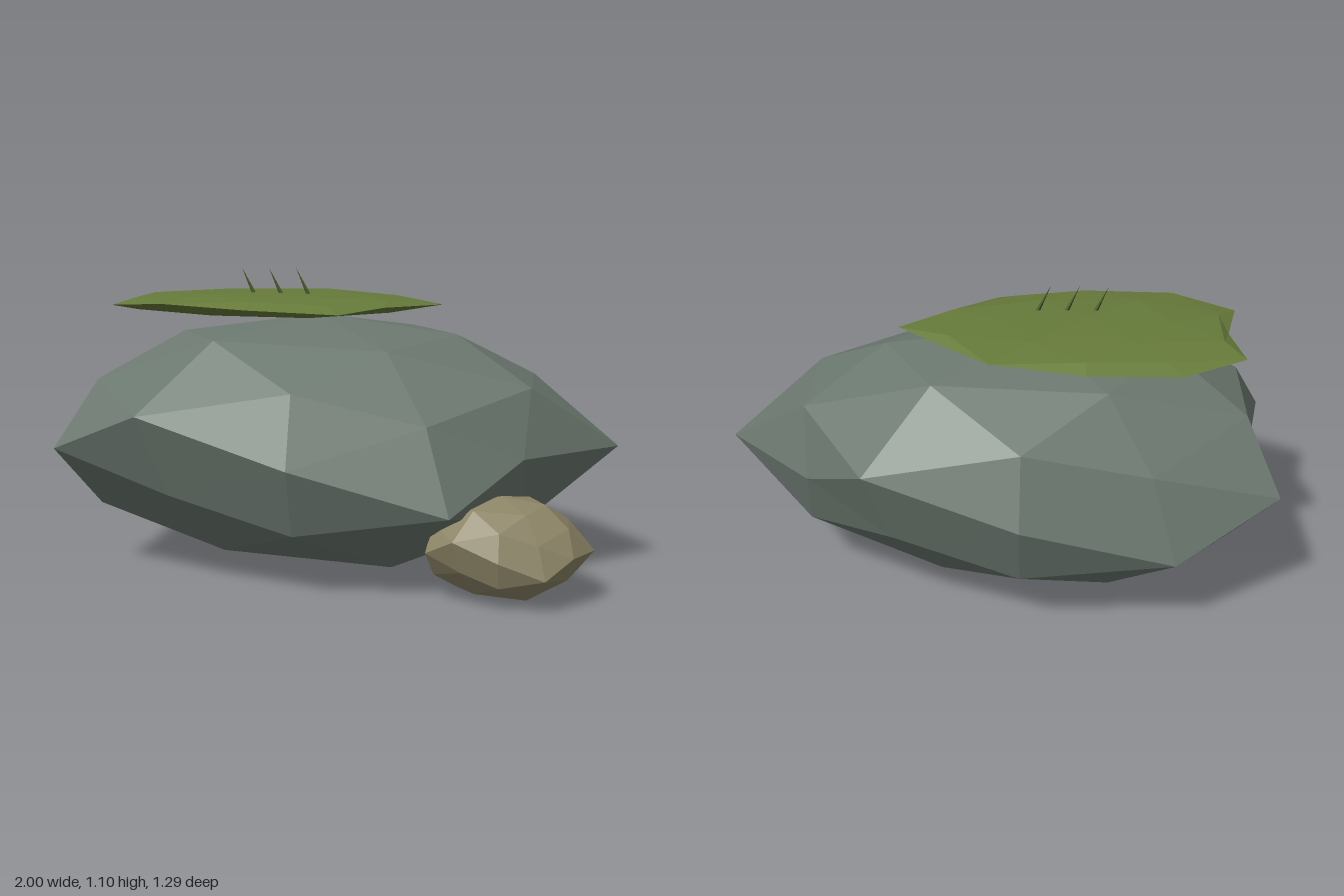
import * as THREE from 'three';

// Radial push for each kind of direction on a once-subdivided icosahedron;
// k fades the two end facets toward a rounder stone.
function bulge(x, y, z, k) {
  const ax = Math.abs(x), ay = Math.abs(y), az = Math.abs(z);
  if (ax > 0.95) return x > 0 ? 1.13 : 1 - 0.145 * k;          // end points
  if (ay < 0.05 && ax > 0.8) {                                  // pairs beside the ends
    if (x < 0) return 1 + 0.09 * k;
    return k < 1 ? 1.03 : 0.93;
  }
  const side = x * y * z;
  if (Math.abs(side) < 0.01) return 1;
  if (az > 0.75) return side < 0 ? 1.1 : 0.92;                  // broad sides
  if (ay > 0.75) return side < 0 ? 1.05 : 0.97;                 // crown and underside
  return 1;
}

function stone(name, color, center, radii, k = 1) {
  const geo = new THREE.IcosahedronGeometry(1, 1);
  const p = geo.attributes.position;
  const v = new THREE.Vector3();
  for (let i = 0; i < p.count; i++) {
    v.fromBufferAttribute(p, i).normalize();
    const s = bulge(v.x, v.y, v.z, k);
    p.setXYZ(i, v.x * s * radii[0], v.y * s * radii[1], v.z * s * radii[2]);
  }
  geo.computeVertexNormals();
  const mesh = new THREE.Mesh(geo, new THREE.MeshStandardMaterial({ color, flatShading: true }));
  mesh.name = name;
  mesh.position.set(...center);
  return mesh;
}

export function createModel() {
  const group = new THREE.Group();
  group.name = 'mossyRock';

  // Boulder, pebble at its foot, and flat moss cap
  group.add(stone('boulder', 0x6b786f, [-0.1, 0.467, 0], [0.972, 0.464, 0.645]));
  group.add(stone('pebble', 0x8e8668, [0.6, 0.178, 0.39], [0.278, 0.177, 0.23], 0.6));
  group.add(stone('mossCap', 0x667a3a, [-0.31, 0.963, -0.085], [0.585, 0.047, 0.365]));

  // Row of leaning sprouts on the moss
  const sproutMat = new THREE.MeshStandardMaterial({ color: 0x4c5c2c, flatShading: true });
  const sprouts = new THREE.Group();
  sprouts.name = 'sprouts';
  for (let i = 0; i < 3; i++) {
    const sprout = new THREE.Mesh(new THREE.ConeGeometry(0.009, 0.12, 4), sproutMat);
    sprout.name = 'sprout';
    sprout.position.set(-0.364 + i * 0.102, 1.043, 0);
    sprout.rotation.z = 0.44;
    sprouts.add(sprout);
  }
  group.add(sprouts);
  return group;
}
